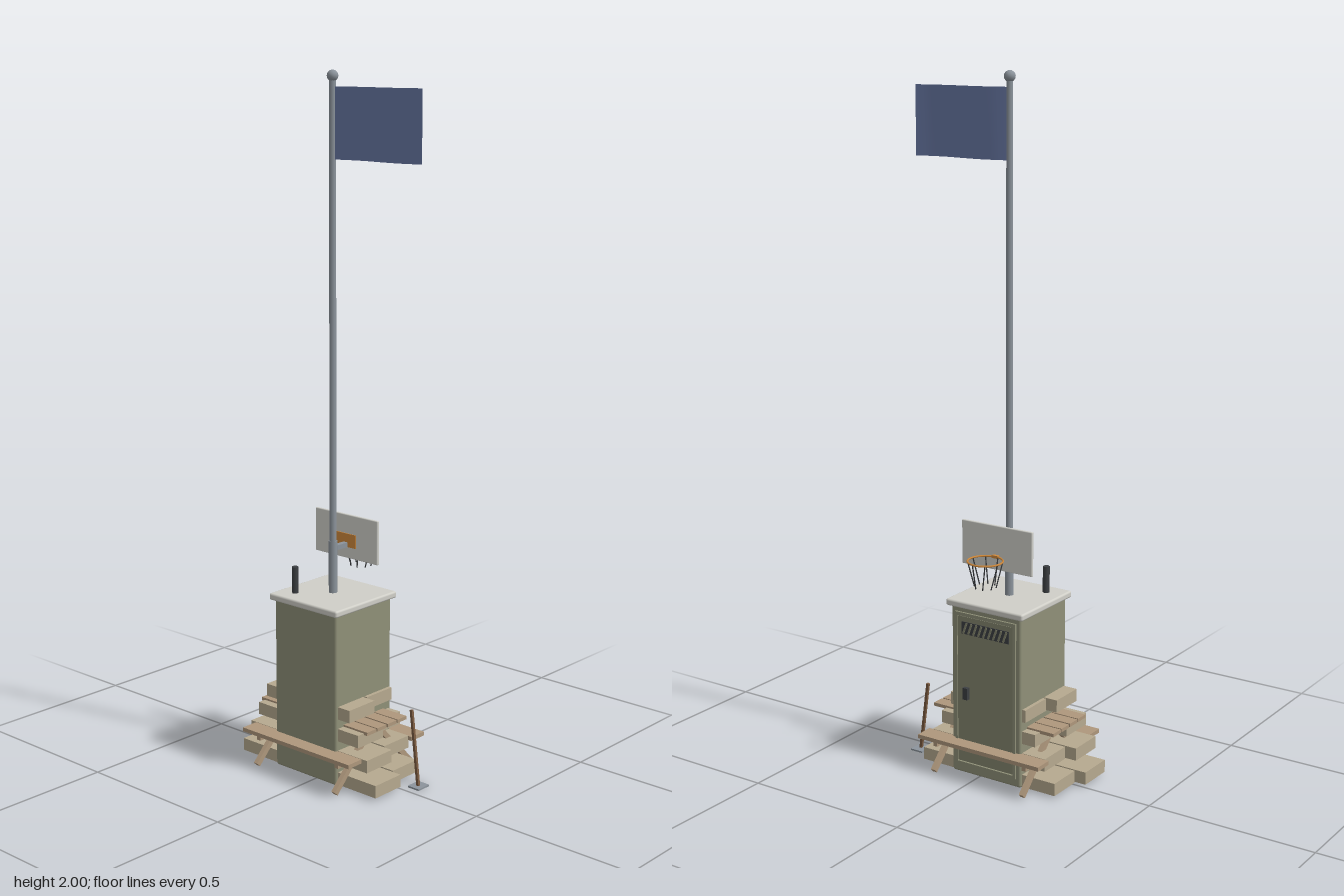
import * as THREE from 'three';
import { RoundedBoxGeometry } from 'three/addons/geometries/RoundedBoxGeometry.js';

const mat = (color, extra = {}) => new THREE.MeshStandardMaterial({ color, ...extra });
const MAT = {
  booth: mat(0x8f9078), door: mat(0x85866f), roof: mat(0xd0cfc8), metal: mat(0x8c949c),
  dark: mat(0x3c3f42), plank: mat(0xae977c), stone: mat(0xb6a98f), board: mat(0xd2d2cc),
  orange: mat(0xd08a3c), shaft: mat(0x7a5a40), flag: mat(0x6878a4, { side: THREE.DoubleSide }),
};
const CX = -0.03; // centre line of booth and pole

export function createModel() {
  const root = new THREE.Group();

  const add = (name, geometry, material, x = 0, y = 0, z = 0, parent = root) => {
    const mesh = new THREE.Mesh(geometry, material);
    mesh.name = name;
    mesh.position.set(x, y, z);
    parent.add(mesh);
    return mesh;
  };
  const box = (name, w, h, d, material, x, y, z, parent) =>
    add(name, new THREE.BoxGeometry(w, h, d), material, x, y, z, parent);
  const group = (name) => {
    const g = new THREE.Group();
    g.name = name;
    root.add(g);
    return g;
  };
  // Bar of rectangular section running between two points
  const bar = (name, a, b, w, d, material, parent) => {
    const from = new THREE.Vector3(...a), to = new THREE.Vector3(...b);
    const dir = to.clone().sub(from);
    const mesh = box(name, w, dir.length(), d, material, 0, 0, 0, parent);
    mesh.position.copy(from).add(to).multiplyScalar(0.5);
    mesh.quaternion.setFromUnitVectors(new THREE.Vector3(0, 1, 0), dir.normalize());
    return mesh;
  };

  // Booth body, roof and chimney
  add('boothBody', new RoundedBoxGeometry(0.236, 0.508, 0.236, 2, 0.007), MAT.booth, CX, 0.261, 0);
  add('roof', new RoundedBoxGeometry(0.26, 0.02, 0.26, 2, 0.006), MAT.roof, CX, 0.521, 0);
  add('chimney', new THREE.CylinderGeometry(0.01, 0.01, 0.08, 6), MAT.dark, -0.106, 0.569, 0.077);

  // Door on the back, with frame, vent louvres and handle
  const door = group('door');
  box('doorPanel', 0.19, 0.44, 0.006, MAT.door, CX, 0.265, -0.118, door);
  for (const s of [-1, 1]) {
    box('doorFrameSide', 0.008, 0.464, 0.01, MAT.booth, CX + s * 0.099, 0.265, -0.119, door);
    box('doorFrameRail', 0.19, 0.01, 0.01, MAT.booth, CX, 0.265 + s * 0.227, -0.119, door);
  }
  box('ventBack', 0.16, 0.036, 0.003, MAT.dark, CX, 0.452, -0.1215, door);
  for (let i = 0; i < 9; i++) {
    const slat = box('ventLouvre', 0.006, 0.034, 0.003, MAT.door, CX - 0.068 + i * 0.017, 0.452, -0.1235, door);
    slat.rotation.z = 0.35;
  }
  box('doorHandle', 0.016, 0.035, 0.012, MAT.dark, 0.033, 0.257, -0.127, door);

  // Flagpole with sleeve and ball
  add('flagpole', new THREE.CylinderGeometry(0.0095, 0.0105, 1.45, 10), MAT.metal, CX, 1.25, 0);
  add('poleSleeve', new THREE.CylinderGeometry(0.0125, 0.0125, 0.155, 10), MAT.metal, CX, 0.607, 0);
  add('poleBall', new THREE.SphereGeometry(0.016, 10, 8), MAT.metal, CX, 1.984, 0);

  // Waving flag
  const flag = new THREE.PlaneGeometry(0.305, 0.195, 12, 1);
  const p = flag.attributes.position;
  for (let i = 0; i < p.count; i++) {
    const u = p.getX(i) / 0.305 + 0.5;
    p.setZ(i, -0.009 * Math.sin(u * Math.PI * 2));
  }
  flag.computeVertexNormals();
  add('flag', flag, MAT.flag, 0.132, 1.858, 0);

  // Basketball hoop mounted on the pole
  const hoop = group('basketballHoop');
  box('hoopArm', 0.015, 0.014, 0.058, MAT.metal, CX, 0.662, -0.028, hoop);
  add('backboard', new RoundedBoxGeometry(0.238, 0.13, 0.009, 1, 0.003), MAT.board, CX, 0.686, -0.06, hoop);
  box('mountPlate', 0.076, 0.04, 0.003, MAT.orange, CX, 0.675, -0.0545, hoop);
  box('rimBracket', 0.02, 0.008, 0.012, MAT.orange, CX, 0.662, -0.068, hoop);
  const rim = add('rim', new THREE.TorusGeometry(0.05, 0.0027, 6, 24), MAT.orange, CX, 0.662, -0.12, hoop);
  rim.rotation.x = Math.PI / 2;
  for (let i = 0; i < 8; i++) {
    const a = (i / 8) * Math.PI * 2 + 0.2, b = a + 0.22;
    bar('netCord',
      [CX + 0.049 * Math.cos(a), 0.66, -0.12 + 0.049 * Math.sin(a)],
      [CX + 0.031 * Math.cos(b), 0.586, -0.12 + 0.031 * Math.sin(b)],
      0.0028, 0.0028, MAT.dark, hoop);
  }

  // Stepped block courses, the back stack one step narrower than the front
  const steps = group('stepBlocks');
  for (const side of [1, -1]) {
    for (let row = 0; row < 4; row++) {
      const half = 0.26 - 0.0328 * (row + (side < 0 ? 1 : 0));
      for (const s of [-1, 1]) {
        box('stepBlock', half, 0.037, 0.107, MAT.stone, CX + s * half / 2, 0.028 + row * 0.0655, side * 0.0565, steps);
      }
    }
  }

  // Picnic table around the booth: top slats, benches and splayed legs
  const table = group('picnicTable');
  for (const s of [-1, 1]) {
    for (const z of [0.0225, 0.066]) {
      box('tableSlat', 0.414, 0.01, 0.039, MAT.plank, CX, 0.178, s * z, table);
    }
    box('bench', 0.414, 0.012, 0.056, MAT.plank, CX, 0.105, s * 0.137, table);
    const x = CX + s * 0.153;
    box('benchBeam', 0.014, 0.016, 0.31, MAT.plank, x, 0.091, 0, table);
    box('topBeam', 0.014, 0.012, 0.16, MAT.plank, x, 0.167, 0, table);
    for (const t of [-1, 1]) {
      bar('tableLeg', [x, 0.01, t * 0.163], [x, 0.168, t * 0.006], 0.014, 0.016, MAT.plank, table);
    }
  }

  // Shovel standing beside the steps
  const shovel = group('shovel');
  box('shovelBlade', 0.04, 0.005, 0.046, MAT.metal, 0.257, 0.0045, -0.045, shovel);
  bar('shovelShaft', [0.258, 0.006, -0.043], [0.221, 0.222, -0.055], 0.008, 0.008, MAT.shaft, shovel);

  return root;
}
